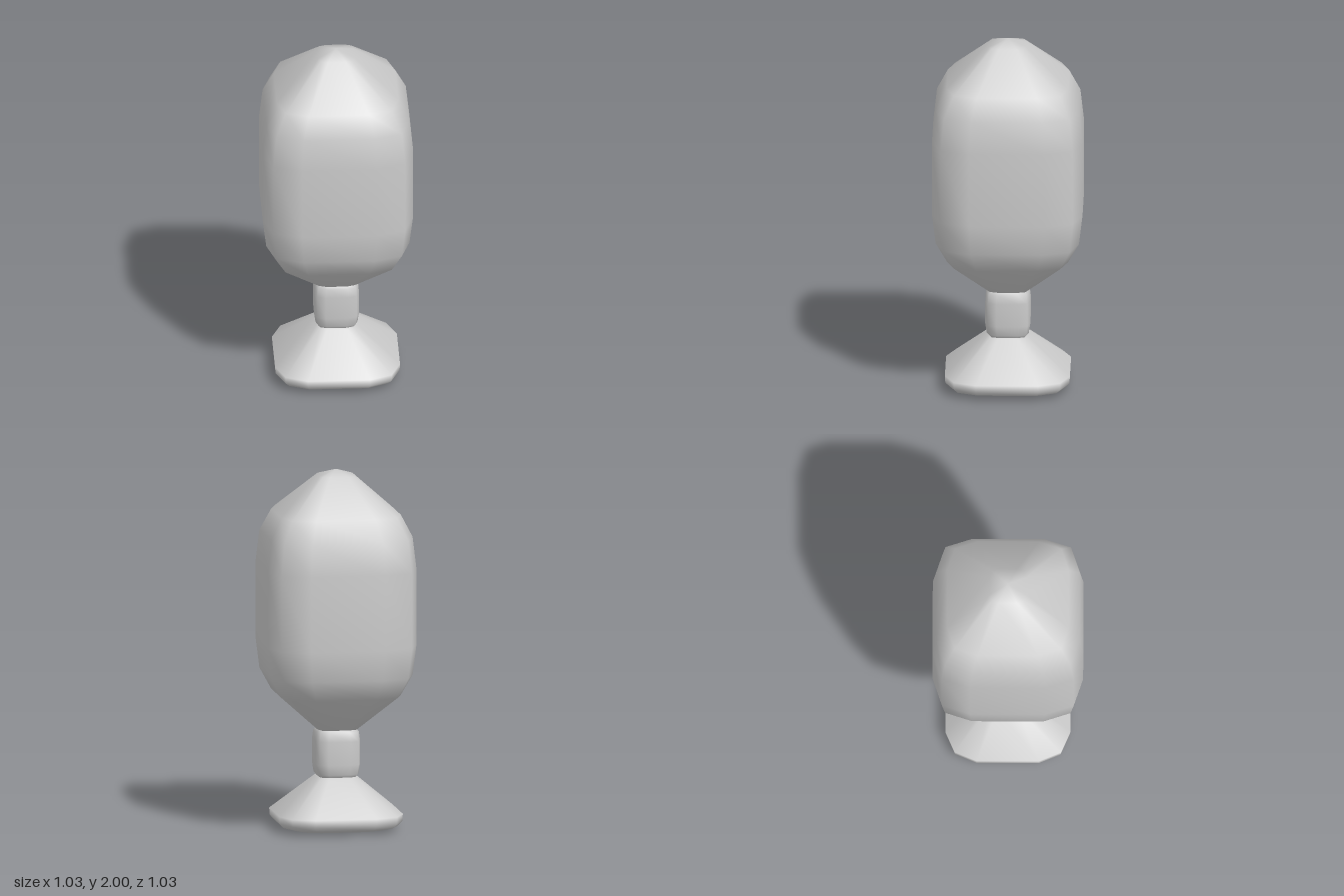
import * as THREE from 'three';

const material = new THREE.MeshStandardMaterial({ color: 0xcccccc });

// Unit cross-section: a square turned 45 degrees with bevelled corners (12 points).
const SIDES = 12;
function ringPoint(i, radius, fullness) {
  const quarter = Math.floor(i / 3) * Math.PI / 2;
  const [u, v] = [[1, 0], [0.856, 0.286], [0.286, 0.856]][i % 3];
  const f = i % 3 === 0 ? radius : radius * fullness;
  const c = Math.cos(quarter), s = Math.sin(quarter);
  return [f * (u * c - v * s), f * (u * s + v * c)];
}

// Lofts rings listed bottom to top as [y, corner radius, fullness of the flat sides].
function loft(name, rows) {
  const positions = [], index = [];
  rows.forEach(([y, radius, fullness = 1], r) => {
    if (radius === 0) {
      for (let i = 0; i < SIDES; i++) positions.push(0, y, 0);
    } else {
      for (let i = 0; i < SIDES; i++) {
        const [x, z] = ringPoint(i, radius, fullness);
        positions.push(x, y, z);
      }
    }
    if (r === 0) return;
    for (let i = 0; i < SIDES; i++) {
      const j = (i + 1) % SIDES;
      const a = (r - 1) * SIDES + i, b = (r - 1) * SIDES + j;
      const c = r * SIDES + i, d = r * SIDES + j;
      if (rows[r][1] > 0) index.push(a, c, d);
      if (rows[r - 1][1] > 0) index.push(a, d, b);
    }
  });
  const geometry = new THREE.BufferGeometry();
  geometry.setAttribute('position', new THREE.Float32BufferAttribute(positions, 3));
  geometry.setIndex(index);
  geometry.computeVertexNormals();
  // Cone tips share one upright normal
  rows.forEach(([, radius], r) => {
    if (radius > 0) return;
    for (let i = 0; i < SIDES; i++) {
      geometry.attributes.normal.setXYZ(r * SIDES + i, 0, r === 0 ? -1 : 1, 0);
    }
  });
  const mesh = new THREE.Mesh(geometry, material);
  mesh.name = name;
  return mesh;
}

export function createModel() {
  const model = new THREE.Group();
  model.name = 'pedestalOrnament';

  // Flared foot with a nearly flat underside
  model.add(loft('base', [
    [0, 0], [0.005, 0.3, 1.03], [0.025, 0.385, 1.03], [0.05, 0.412, 1.03],
    [0.09, 0.415, 1.03], [0.285, 0.14], [0.292, 0.12],
  ]));

  // Short bulging stem
  model.add(loft('neck', [
    [0.285, 0.125], [0.305, 0.144], [0.36, 0.154],
    [0.49, 0.154], [0.54, 0.146], [0.556, 0.125],
  ]));

  // Tall body, tapering to the stem and to a blunt peak
  model.add(loft('body', [
    [0.548, 0.115], [0.555, 0.14], [0.755, 0.415], [0.87, 0.49], [1.04, 0.515],
    [1.46, 0.515], [1.64, 0.49], [1.76, 0.415], [1.967, 0.125], [2, 0],
  ]));

  return model;
}
